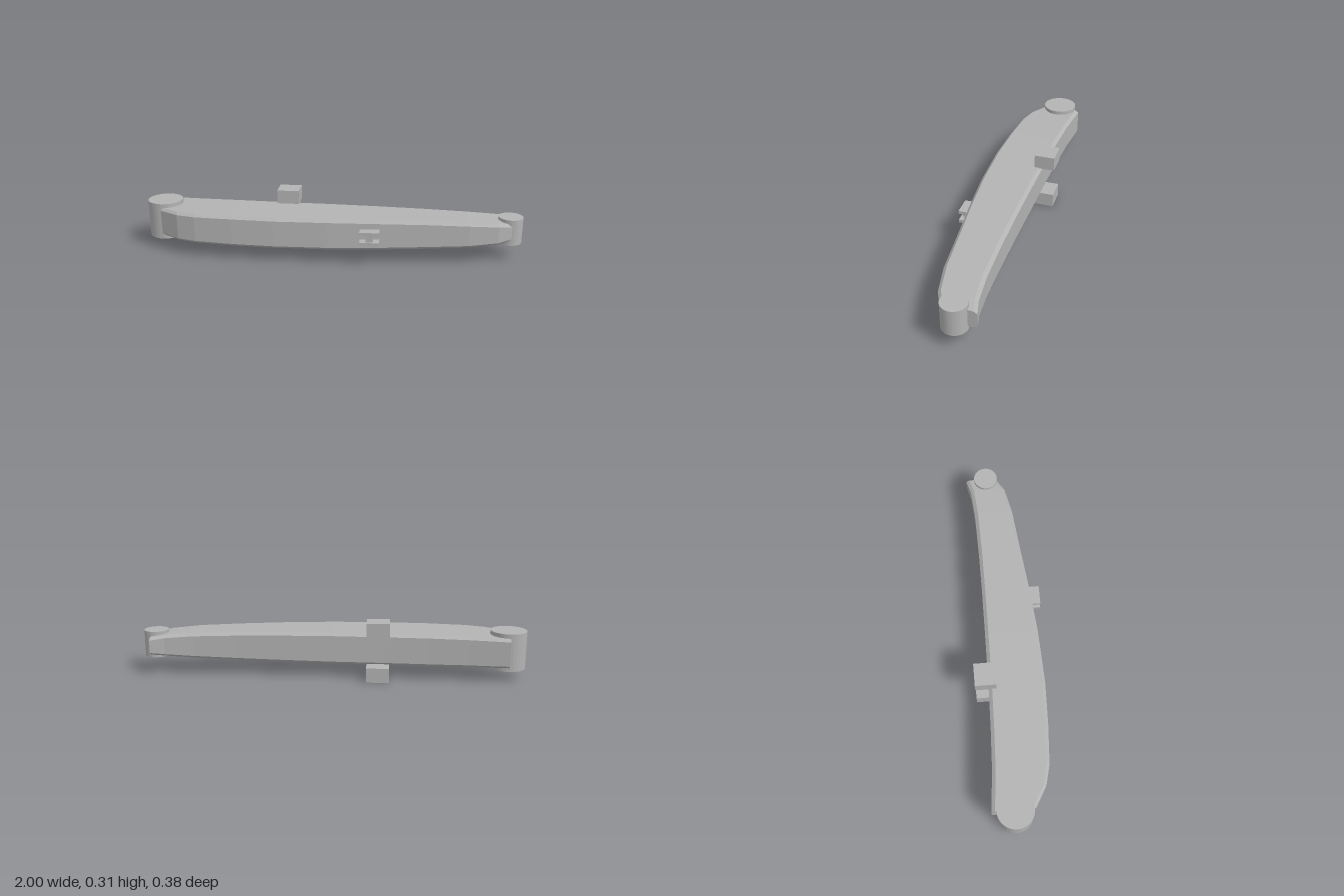
import * as THREE from 'three';

const MID = 0.155; // height of the horizontal symmetry plane

// Arm stations: x, front z, back z, half height at the edge faces, half height of the flat plates
const STATIONS = [
  [-0.905, 0.06, -0.155, 0.063, 0.076],
  [-0.8, 0.122, -0.145, 0.065, 0.078],
  [-0.7, 0.147, -0.136, 0.066, 0.08],
  [-0.5, 0.161, -0.127, 0.068, 0.082],
  [-0.28, 0.168, -0.121, 0.068, 0.082],
  [0, 0.158, -0.118, 0.068, 0.082],
  [0.25, 0.136, -0.116, 0.065, 0.08],
  [0.5, 0.108, -0.117, 0.06, 0.075],
  [0.72, 0.086, -0.122, 0.053, 0.067],
  [0.87, 0.055, -0.135, 0.043, 0.056],
  [0.945, 0.015, -0.155, 0.033, 0.046],
];

// Chamfered, bowed arm lofted through eight-sided sections
function armGeometry() {
  const rings = STATIONS.map(([x, f, b, e, h]) => {
    const fi = f - 0.015, bi = b + 0.018;
    return [[b, -e], [b, e], [bi, h], [fi, h], [f, e], [f, -e], [fi, -h], [bi, -h]]
      .map(([z, y]) => [x, MID + y, z]);
  });
  const pos = [];
  const tri = (...pts) => pts.forEach((p) => pos.push(...p));
  for (let i = 0; i < rings.length - 1; i++) {
    const a = rings[i], b = rings[i + 1];
    for (let j = 0; j < 8; j++) {
      const k = (j + 1) % 8;
      tri(a[j], a[k], b[j]);
      tri(b[j], a[k], b[k]);
    }
  }
  const first = rings[0], last = rings[rings.length - 1];
  for (let j = 1; j < 7; j++) {
    tri(first[0], first[j + 1], first[j]);
    tri(last[0], last[j], last[j + 1]);
  }
  const geo = new THREE.BufferGeometry();
  geo.setAttribute('position', new THREE.Float32BufferAttribute(pos, 3));
  geo.computeVertexNormals();
  return geo;
}

export function createModel() {
  const group = new THREE.Group();
  const grey = new THREE.MeshStandardMaterial({ color: 0xb3b3b3, flatShading: true });
  grey.name = 'grey metal';

  const add = (name, geo, x = 0, y = 0, z = 0) => {
    const mesh = new THREE.Mesh(geo, grey);
    mesh.name = name;
    mesh.position.set(x, y, z);
    group.add(mesh);
  };

  add('arm', armGeometry());

  // Pivot barrels at both ends
  add('largePivot', new THREE.CylinderGeometry(0.093, 0.093, 0.196, 32), -0.907, MID, -0.038);
  add('smallPivot', new THREE.CylinderGeometry(0.064, 0.064, 0.138, 32), 0.936, MID, -0.046);

  // Mirrored blocks above and below, and the bracket's two flanges
  for (const s of [1, -1]) {
    const side = s > 0 ? 'upper' : 'lower';
    add(side + 'Block', new THREE.BoxGeometry(0.117, 0.075, 0.108), -0.241, MID + s * 0.1165, -0.135);
    add(side + 'BracketFlange', new THREE.BoxGeometry(0.1, 0.017, 0.06), 0.215, MID + s * 0.027, 0.16);
  }
  add('bracketWeb', new THREE.BoxGeometry(0.036, 0.04, 0.048), 0.215, MID, 0.156);

  return group;
}
